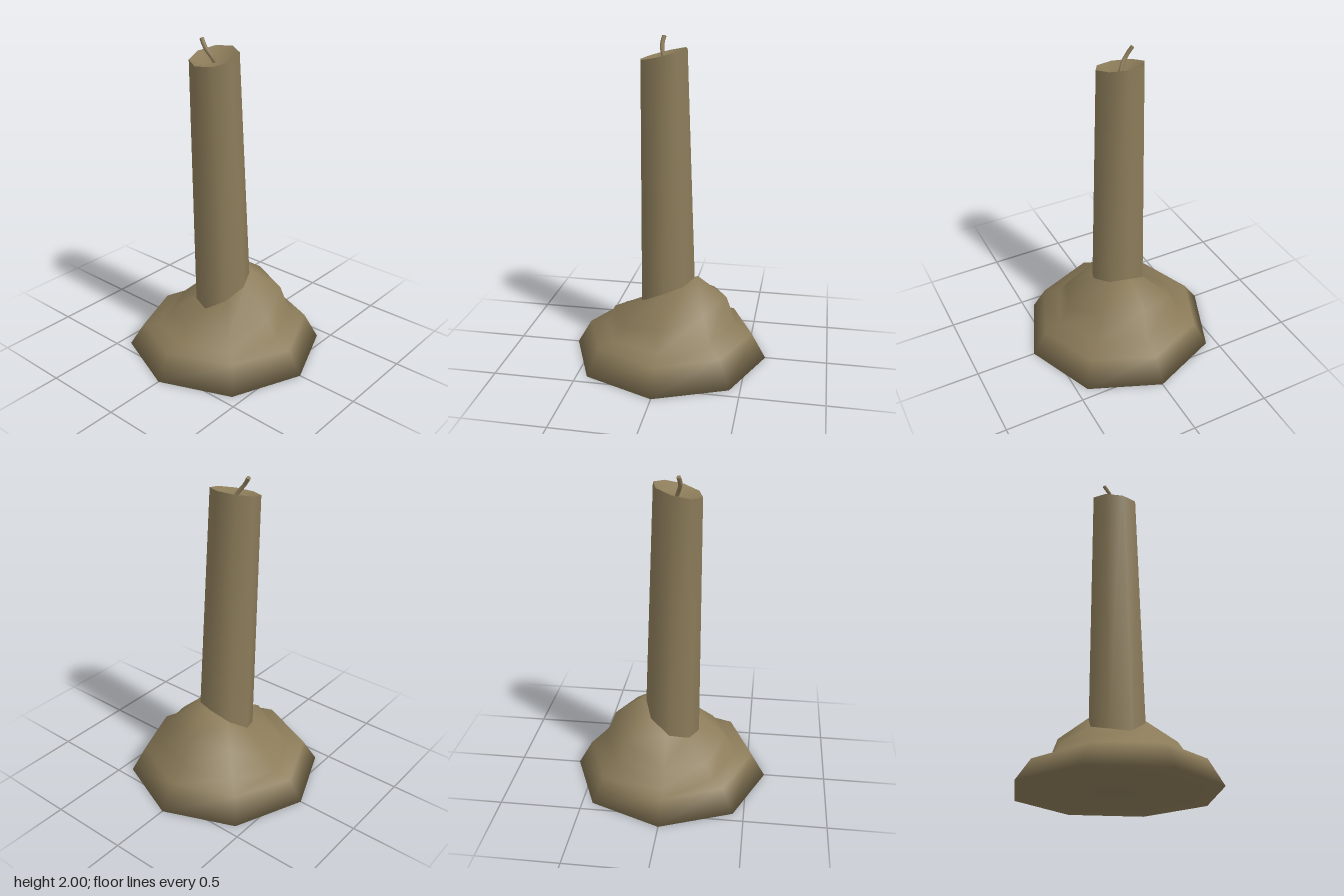
import * as THREE from 'three';

const SIDES = 8;

// One eight-sided ring; height may be a number or a list with one value per corner
function ring(radius, height, cx = 0, cz = 0, turn = 0, tilt = 0) {
  const points = [];
  for (let k = 0; k < SIDES; k++) {
    const a = (k / SIDES) * Math.PI * 2 + turn;
    const y = Array.isArray(height) ? height[k] : height;
    const dz = Math.sin(a) * radius;
    points.push([cx + Math.cos(a) * radius, y - dz * tilt, cz + dz]);
  }
  return points;
}

// Smooth skin over a stack of rings, closed by optional poles
function loft(rings, startPole, endPole) {
  const points = rings.flat();
  const index = [];
  const at = (i, k) => i * SIDES + (k % SIDES);
  for (let i = 0; i < rings.length - 1; i++) {
    for (let k = 0; k < SIDES; k++) {
      const a = at(i, k), b = at(i, k + 1), c = at(i + 1, k), d = at(i + 1, k + 1);
      index.push(a, c, b, b, c, d);
    }
  }
  if (startPole) {
    const p = points.push(startPole) - 1;
    for (let k = 0; k < SIDES; k++) index.push(p, at(0, k), at(0, k + 1));
  }
  if (endPole) {
    const p = points.push(endPole) - 1;
    const last = rings.length - 1;
    for (let k = 0; k < SIDES; k++) index.push(p, at(last, k + 1), at(last, k));
  }
  const geometry = new THREE.BufferGeometry();
  geometry.setAttribute('position', new THREE.Float32BufferAttribute(points.flat(), 3));
  geometry.setIndex(index);
  geometry.computeVertexNormals();
  return geometry;
}

export function createModel() {
  const group = new THREE.Group();
  const wax = new THREE.MeshStandardMaterial({ color: 0x8b7b59 });
  wax.name = 'tan wax';

  const add = (name, geometry) => {
    const mesh = new THREE.Mesh(geometry, wax);
    mesh.name = name;
    group.add(mesh);
  };

  // Melted pool: flat foot, sloping rim and an uneven mound, highest at the back
  add('meltedBase', loft([
    ring(0.615, 0),
    ring(0.525, [0.15, 0.16, 0.155, 0.14, 0.13, 0.15, 0.16, 0.165]),
    ring(0.42, [0.19, 0.18, 0.165, 0.14, 0.14, 0.20, 0.23, 0.22]),
    ring(0.36, [0.30, 0.27, 0.28, 0.23, 0.23, 0.35, 0.40, 0.38]),
    ring(0.175, [0.47, 0.40, 0.32, 0.33, 0.37, 0.46, 0.53, 0.51]),
  ], [0, 0, 0], [0, 0.42, 0]));

  // Candle shaft: tapers and leans slightly, with a slanted top
  const turn = 0.12, cx = -0.04, cz = 0.045, tilt = 0.25;
  const rim = ring(0.145, 1.9, cx, cz, turn, tilt);
  add('candleShaft', loft([ring(0.175, 0.25, 0, 0.008), rim]));

  // Hollow around the wick
  add('candleTop', loft([
    rim,
    ring(0.085, 1.87, cx, cz, turn, tilt * 0.6),
  ], null, [cx, 1.86, cz]));

  // Bent wick
  const path = new THREE.CatmullRomCurve3([
    new THREE.Vector3(-0.035, 1.85, 0.035),
    new THREE.Vector3(-0.05, 1.89, 0.05),
    new THREE.Vector3(-0.09, 1.945, 0.065),
    new THREE.Vector3(-0.122, 1.992, 0.058),
  ]);
  add('wick', new THREE.TubeGeometry(path, 6, 0.013, 6));
  const tip = new THREE.CircleGeometry(0.013, 6);
  tip.applyQuaternion(new THREE.Quaternion().setFromUnitVectors(
    new THREE.Vector3(0, 0, 1), path.getTangent(1)));
  const end = path.getPoint(1);
  tip.translate(end.x, end.y, end.z);
  add('wickTip', tip);

  return group;
}
